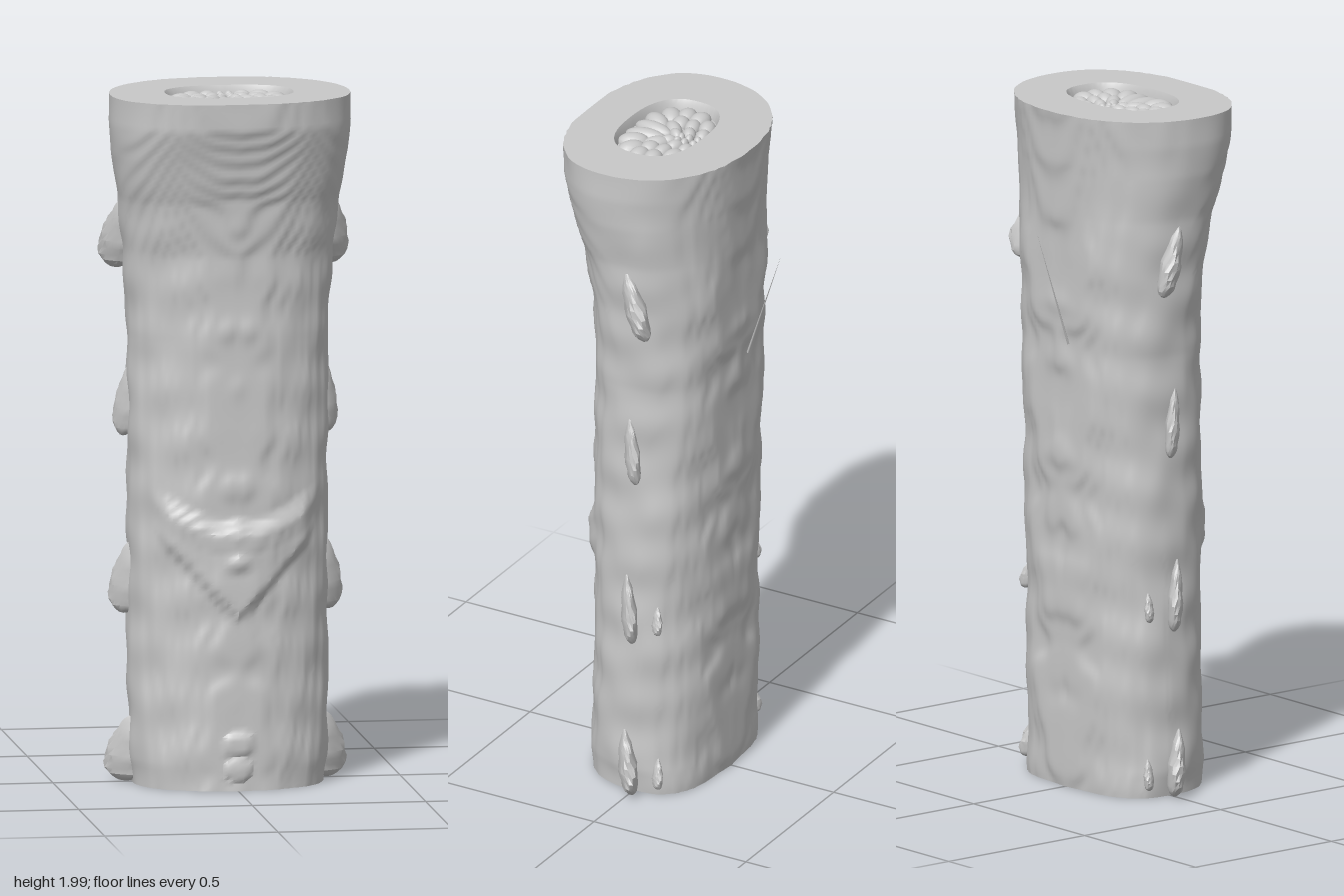
import * as THREE from 'three';
import { toCreasedNormals } from 'three/addons/utils/BufferGeometryUtils.js';

const N = 120, ROWS = 180, BOTTOM = 0.01, TOP = 2;
const { smoothstep, lerp } = THREE.MathUtils;

// trunk outline by height: y, half width, back z, front z
const PROFILE = [
  [0.01, 0.274, -0.165, 0.232], [0.08, 0.284, -0.166, 0.233], [0.4, 0.285, -0.17, 0.224],
  [0.8, 0.287, -0.176, 0.222], [1.3, 0.285, -0.189, 0.217], [1.55, 0.302, -0.197, 0.221],
  [1.7, 0.316, -0.203, 0.24], [1.83, 0.338, -0.21, 0.273], [1.92, 0.345, -0.219, 0.298], [2, 0.345, -0.226, 0.303],
];

function outline(y) {
  let i = 1;
  while (i < PROFILE.length - 1 && PROFILE[i][0] < y) i++;
  const p = PROFILE[i - 1], q = PROFILE[i];
  const t = (y - p[0]) / (q[0] - p[0]);
  return [1, 2, 3].map((k) => lerp(p[k], q[k], t));
}

// soft terracing of a value
function terrace(v, step) {
  const t = v / step, r = Math.round(t);
  return (r + 4 * (t - r) ** 3) * step;
}

function superPoint(a, rx, rz, n) {
  const c = Math.cos(a), s = Math.sin(a);
  const k = (Math.abs(c) ** n + Math.abs(s) ** n) ** (-1 / n);
  return [rx * c * k, rz * s * k];
}

// low swellings on the front centre line: y, half width, half height
const SWELLINGS = [[0.665, 0.045, 0.035], [0.145, 0.045, 0.04], [0.07, 0.042, 0.036]];

// mirrored bark relief: lumps, chevrons, the raised front crest and its swellings
function relief(x, y, z, front) {
  const ax = Math.abs(x);
  const calm = 1 - 0.7 * smoothstep(y, 1.6, 1.85);
  const broad = Math.sin(y * 17 + ax * 19) * Math.sin(y * 11 - z * 23 + 1);
  const fine = Math.sin(y * 29 - ax * 26 + z * 9) * Math.sin(ax * 33 + y * 13 + 2);
  let d = calm * (0.0035 * broad + 0.003 * fine);
  if (front) {
    const low = 0.5 + ax * 1.1, high = 0.74 + ax * ax * 1.8;
    const inside = smoothstep(y, low - 0.03, low + 0.03) * (1 - smoothstep(y, high, high + 0.06));
    const edge = 1 - smoothstep(ax, 0.16, 0.25);
    d += 0.015 * inside * edge;
    d += 0.006 * Math.max(0, 1 - Math.abs(y - high) / 0.05) * edge;
    for (const [by, w, h] of SWELLINGS) {
      d += 0.012 * Math.max(0, 1 - (ax / w) ** 2 - ((y - by) / h) ** 2);
    }
  } else {
    d += 0.004 * calm * Math.sin((y - ax * 1.3) * 15) * smoothstep(-z, 0.02, 0.1);
  }
  return d;
}

function barkRing(y) {
  const [w, back, front] = outline(y);
  const flare = smoothstep(y, 1.4, 1.9);
  const zc = lerp(0.022, 0.058, flare);
  return Array.from({ length: N }, (_, j) => {
    const a = (j / N) * Math.PI * 2, isFront = Math.sin(a) >= 0;
    const n = isFront ? lerp(2.1, 2.35, flare) : lerp(2.6, 2.15, flare);
    const [x, dz] = superPoint(a, w, isFront ? front - zc : zc - back, n);
    const d = relief(x, y, dz, isFront && Math.abs(x) < w * 0.95);
    const k = 1 + d / Math.hypot(x, dz);
    const z = zc + dz * k;
    return [x * k, y, lerp(z, terrace(z, 0.012), 0.85)];
  });
}

function holeRing(y, zc, scale) {
  return Array.from({ length: N }, (_, j) => {
    const [x, z] = superPoint((j / N) * Math.PI * 2, 0.177 * scale, 0.118 * scale, 2.5);
    return [x, y, zc + z];
  });
}

// one closed skin: lower recess, rim, bark, upper rim, upper recess
function trunkGeometry() {
  const rings = [holeRing(0.035, 0.033, 0.001), holeRing(0.035, 0.033, 1.02), holeRing(BOTTOM, 0.033, 1.05)];
  for (let i = 0; i <= ROWS; i++) rings.push(barkRing(BOTTOM + (TOP - BOTTOM) * i / ROWS));
  rings.push(holeRing(TOP, 0.049, 1.04), holeRing(TOP - 0.012, 0.049, 1),
    holeRing(1.968, 0.049, 0.97), holeRing(1.968, 0.049, 0.001));
  const index = [];
  for (let i = 0; i < rings.length - 1; i++) {
    for (let j = 0; j < N; j++) {
      const a = i * N + j, b = i * N + (j + 1) % N;
      index.push(a, a + N, b, b, a + N, b + N);
    }
  }
  const g = new THREE.BufferGeometry();
  g.setAttribute('position', new THREE.Float32BufferAttribute(rings.flat(2), 3));
  g.setIndex(index);
  return toCreasedNormals(g, 0.6);
}

// lobes of the core, right half: x, z, half length, half width, angle from x towards z
const LOBES = [
  [0.023, 0.055, 0.064, 0.027, 1.45], [0.068, 0.07, 0.047, 0.031, 1.05],
  [0.114, 0.05, 0.045, 0.032, 0.6], [0.137, 0.012, 0.038, 0.029, 0.12],
  [0.134, -0.032, 0.039, 0.029, -0.2], [0.098, -0.077, 0.038, 0.026, 0.35],
  [0.05, -0.09, 0.03, 0.022, 0.15], [0.088, 0.005, 0.034, 0.028, 0.2],
  [0.086, -0.036, 0.036, 0.024, 0.25], [0.05, 0.006, 0.042, 0.024, 0.8],
  [0.042, -0.05, 0.03, 0.021, 0.45], [0.022, -0.018, 0.028, 0.019, 0.9],
  [0.013, -0.095, 0.015, 0.014, 0.5], [0.014, -0.066, 0.017, 0.013, 0], [0.012, -0.042, 0.016, 0.012, 0.3],
];

function core(name, y, zc, material) {
  const group = new THREE.Group();
  group.name = name;
  const geo = new THREE.SphereGeometry(1, 16, 12);
  for (const side of [1, -1]) {
    for (const [x, z, l, w, a] of LOBES) {
      const lobe = new THREE.Mesh(geo, material);
      lobe.name = 'coreLobe';
      lobe.position.set(x * side, y, zc + z);
      lobe.scale.set(l, 0.017 + w * 0.35, w);
      lobe.rotation.y = -a * side;
      group.add(lobe);
    }
  }
  return group;
}

// side knob: heavy base narrowing to a tip, leaning and swept back in z
function knobGeometry(height, out, depth, lean) {
  const g = new THREE.SphereGeometry(1, 16, 14);
  const p = g.attributes.position;
  for (let i = 0; i < p.count; i++) {
    const y = p.getY(i), taper = 1 - 0.4 * y;
    const rough = 1 + 0.09 * Math.sin(y * 9 + p.getZ(i) * 5);
    const x = p.getX(i) * out * taper * rough;
    p.setXYZ(i, x - 0.008 * y, y * height, p.getZ(i) * depth * taper * rough + lean * y - 0.6 * x);
  }
  return toCreasedNormals(g, 0.45);
}

// x, y, z, half height, reach, half depth, lean
const KNOBS = [
  [0.286, 0.108, 0.014, 0.096, 0.055, 0.03, 0.014], [0.288, 0.6, 0.008, 0.105, 0.042, 0.025, 0.012],
  [0.288, 1.11, -0.002, 0.105, 0.03, 0.024, 0.014], [0.305, 1.59, -0.02, 0.105, 0.048, 0.036, 0.034],
  [0.268, 0.08, -0.075, 0.045, 0.02, 0.017, 0.003], [0.27, 0.57, -0.075, 0.042, 0.018, 0.016, 0.003],
];

export function createModel() {
  const grey = new THREE.MeshStandardMaterial({ color: 0xc8c8c8 });
  grey.name = 'pale grey';
  const model = new THREE.Group();
  model.name = 'trunkSegment';
  const add = (name, geo, x, y, z) => {
    const m = new THREE.Mesh(geo, grey);
    m.name = name;
    m.position.set(x, y, z);
    model.add(m);
    return m;
  };

  add('trunk', trunkGeometry(), 0, 0, 0);
  model.add(core('upperCore', 1.966, 0.05, grey), core('lowerCore', 0.042, 0.034, grey));

  // mirrored knobs along both sides
  for (const [x, y, z, h, o, d, lean] of KNOBS) {
    const geo = knobGeometry(h, o, d, lean);
    add('leftKnob', geo, x, y, z);
    const mirrored = add('rightKnob', geo, -x, y, z);
    mirrored.scale.x = -1;
  }

  // thin thorn on the back
  const from = new THREE.Vector3(-0.047, 1.32, -0.19), to = new THREE.Vector3(-0.043, 1.66, -0.302);
  const dir = to.clone().sub(from);
  const mid = from.clone().add(to).multiplyScalar(0.5);
  const thorn = add('backThorn', new THREE.ConeGeometry(0.004, dir.length(), 4), mid.x, mid.y, mid.z);
  thorn.quaternion.setFromUnitVectors(new THREE.Vector3(0, 1, 0), dir.normalize());

  return model;
}
